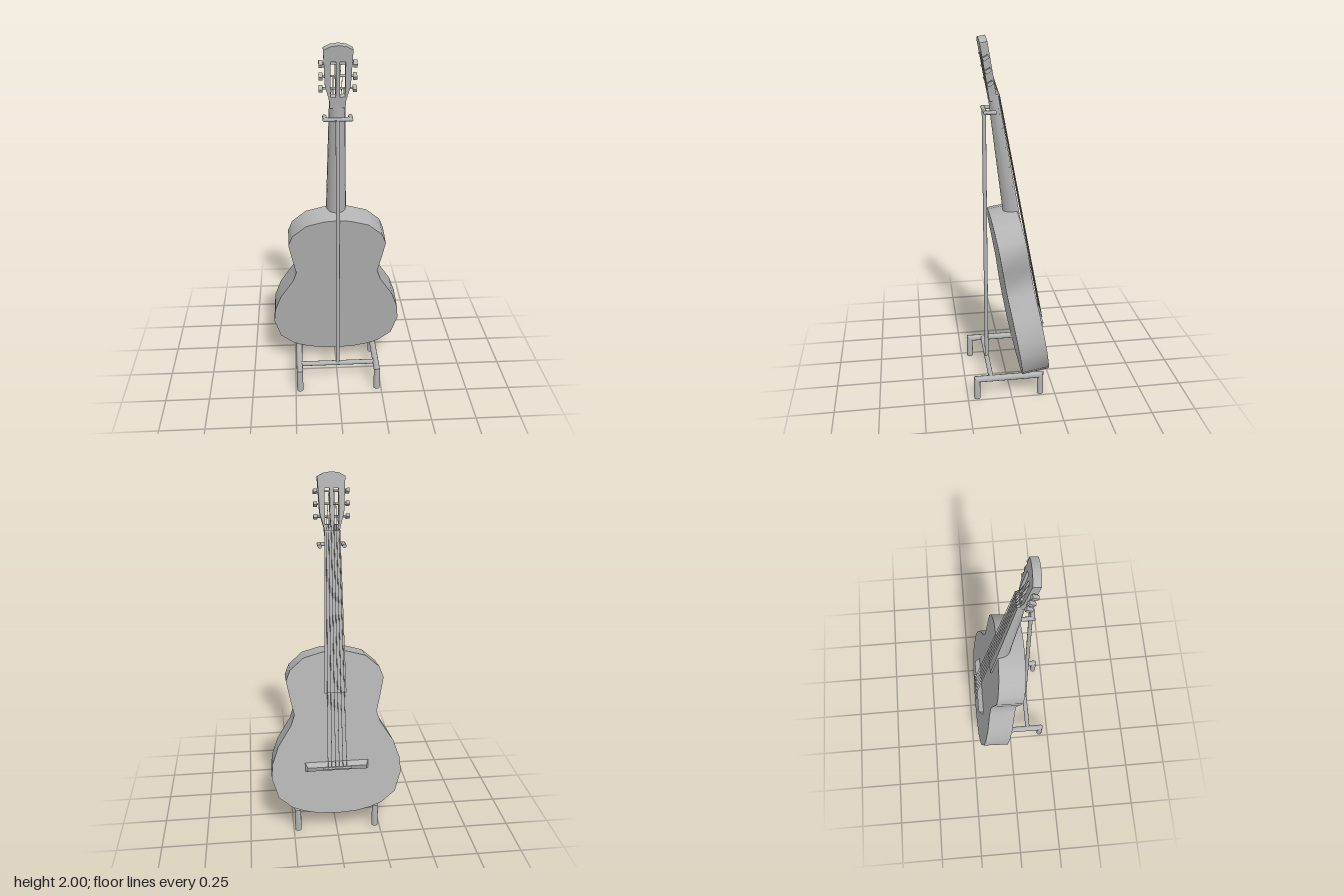
import * as THREE from 'three';
import { toCreasedNormals } from 'three/addons/utils/BufferGeometryUtils.js';
import { ConvexGeometry } from 'three/addons/geometries/ConvexGeometry.js';

const V = (x, y, z) => new THREE.Vector3(x, y, z);
const grey = new THREE.MeshStandardMaterial({ color: 0xb4b4b4 });
grey.name = 'plain grey';

function part(parent, name, geometry) {
  const mesh = new THREE.Mesh(geometry, grey);
  mesh.name = name;
  parent.add(mesh);
  return mesh;
}

function box(parent, name, size, pos) {
  const mesh = part(parent, name, new THREE.BoxGeometry(...size));
  mesh.position.set(...pos);
  return mesh;
}

// Straight round bar between two points
function rod(parent, name, a, b, r, sides = 12) {
  const dir = b.clone().sub(a);
  const mesh = part(parent, name, new THREE.CylinderGeometry(r, r, dir.length(), sides));
  mesh.position.copy(a).add(b).multiplyScalar(0.5);
  mesh.quaternion.setFromUnitVectors(V(0, 1, 0), dir.normalize());
  return mesh;
}

// Capped skin over cross-sections, each listed counter-clockwise about the path
function loft(rings, crease = 0.8) {
  const n = rings[0].length, index = [], last = (rings.length - 1) * n;
  for (let i = 0; i < rings.length - 1; i++) {
    for (let j = 0; j < n; j++) {
      const a = i * n + j, b = i * n + (j + 1) % n;
      index.push(a, b, a + n, b, b + n, a + n);
    }
  }
  for (let j = 1; j < n - 1; j++) index.push(0, j + 1, j, last, last + j, last + j + 1);
  const g = new THREE.BufferGeometry().setFromPoints(rings.flat());
  g.setIndex(index);
  return toCreasedNormals(g, crease);
}

// Round pipe with mitred corners along a flat path whose plane has the given normal
function pipe(points, planeNormal, r, sides = 12) {
  const normals = points.slice(1).map((p, i) =>
    planeNormal.clone().cross(p.clone().sub(points[i]).normalize()));
  return loft(points.map((p, i) => {
    const n1 = normals[Math.max(i - 1, 0)], n2 = normals[Math.min(i, normals.length - 1)];
    const m = n1.clone().add(n2).normalize();
    m.divideScalar(m.dot(n1));
    return Array.from({ length: sides }, (_, j) => {
      const a = (j / sides) * Math.PI * 2;
      return p.clone().addScaledVector(m, r * Math.cos(a)).addScaledVector(planeNormal, r * Math.sin(a));
    });
  }));
}

// Closed shape from its right half, listed bottom to top
function mirrored(half) {
  const left = half.filter(p => p[0] > 0).reverse().map(([x, y]) => [-x, y]);
  return new THREE.Shape([...half, ...left].map(([x, y]) => new THREE.Vector2(x, y)));
}

const slab = (shape, depth) =>
  toCreasedNormals(new THREE.ExtrudeGeometry(shape, { depth, bevelEnabled: false }), 0.6);

// Guitar: local y runs up the neck, the soundboard lies on z = 0 and faces -z
function makeGuitar() {
  const guitar = new THREE.Group();
  guitar.name = 'guitar';

  part(guitar, 'body', slab(mirrored([
    [0, 0], [0.11, 0.007], [0.19, 0.025], [0.255, 0.05], [0.333, 0.115], [0.368, 0.235],
    [0.36, 0.32], [0.325, 0.42], [0.25, 0.54], [0.23, 0.6], [0.25, 0.69], [0.27, 0.795],
    [0.247, 0.855], [0.17, 0.922], [0.07, 0.95], [0, 0.955],
  ]), 0.15));

  // Neck with a rounded back, tapering upwards
  const neckRing = ([y, w, d]) => Array.from({ length: 13 }, (_, j) => {
    const a = (j / 12 - 0.5) * Math.PI;
    return V(w * Math.sin(a), y, d * Math.cos(a));
  });
  part(guitar, 'neck', loft([[0.94, 0.055, 0.074], [1.52, 0.041, 0.045], [1.62, 0.04, 0.038]].map(neckRing)));

  part(guitar, 'fretboard', slab(mirrored([[0, 0.72], [0.06, 0.72], [0.041, 1.59], [0, 1.59]]), 0.01))
    .position.z = -0.01;
  box(guitar, 'nut', [0.084, 0.01, 0.018], [0, 1.595, -0.007]);

  // Slotted headstock
  const head = mirrored([[0, 1.57], [0.04, 1.57], [0.042, 1.61], [0.064, 1.69], [0.073, 1.875],
    [0.04, 1.892], [0, 1.898]]);
  for (const s of [-1, 1]) {
    head.holes.push(new THREE.Path([[0.01, 1.63], [0.037, 1.63], [0.037, 1.815], [0.01, 1.815]]
      .map(([x, y]) => new THREE.Vector2(s * x, y))));
  }
  part(guitar, 'headstock', slab(head, 0.04));

  // Tuning pegs: post across the slot, shaft and button
  const pegRows = [1.67, 1.735, 1.8];
  for (const s of [-1, 1]) {
    for (const y of pegRows) {
      rod(guitar, 'tuningPost', V(s * 0.006, y, 0.02), V(s * 0.08, y, 0.02), 0.006, 8);
      box(guitar, 'tuningButton', [0.02, 0.018, 0.034], [s * 0.085, y, 0.024]).rotation.x = 0.35;
    }
  }

  // Wedge-shaped bridge with its saddle
  const bridge = [];
  for (const s of [-1, 1]) {
    bridge.push(V(s * 0.178, 0.265, 0), V(s * 0.178, 0.316, 0),
      V(s * 0.166, 0.268, -0.014), V(s * 0.166, 0.294, -0.027));
  }
  part(guitar, 'bridge', new ConvexGeometry(bridge));
  box(guitar, 'saddle', [0.156, 0.012, 0.03], [0, 0.288, -0.02]);

  // Six strings from saddle over the nut to the posts
  for (let i = 0; i < 6; i++) {
    const t = i / 2.5 - 1, s = Math.sign(t), row = 2 - Math.round((Math.abs(t) - 0.2) / 0.4);
    const nut = V(t * 0.034, 1.595, -0.017);
    rod(guitar, 'string', V(t * 0.053, 0.288, -0.035), nut, 0.0016, 6);
    rod(guitar, 'stringEnd', nut, V(s * (0.016 + 0.007 * (2 - row)), pegRows[row], 0.014), 0.0016, 6);
  }
  return guitar;
}

// Stand: two bent feet, a cross bar, an upright and a neck fork
function makeStand() {
  const stand = new THREE.Group();
  stand.name = 'stand';
  for (const x of [-0.225, 0.225]) {
    part(stand, 'footFrame', pipe([V(x, 0, 0.197), V(x, 0.123, 0.197), V(x, 0.123, -0.167), V(x, 0, -0.167)],
      V(1, 0, 0), 0.018));
  }
  rod(stand, 'crossBar', V(-0.22, 0.125, 0.116), V(0.22, 0.125, 0.116), 0.014);
  rod(stand, 'upright', V(0, 0.12, 0.116), V(0, 1.62, 0.116), 0.011);
  part(stand, 'neckFork', pipe([V(-0.066, 1.62, 0.06), V(-0.066, 1.62, 0.116), V(0.066, 1.62, 0.116),
    V(0.066, 1.62, 0.06)], V(0, 1, 0), 0.011));
  return stand;
}

export function createModel() {
  const model = new THREE.Group();
  model.name = 'guitarOnStand';
  const guitar = makeGuitar();
  guitar.position.set(0, 0.13, -0.215);
  guitar.rotation.x = 0.17;
  model.add(guitar, makeStand());
  return model;
}
